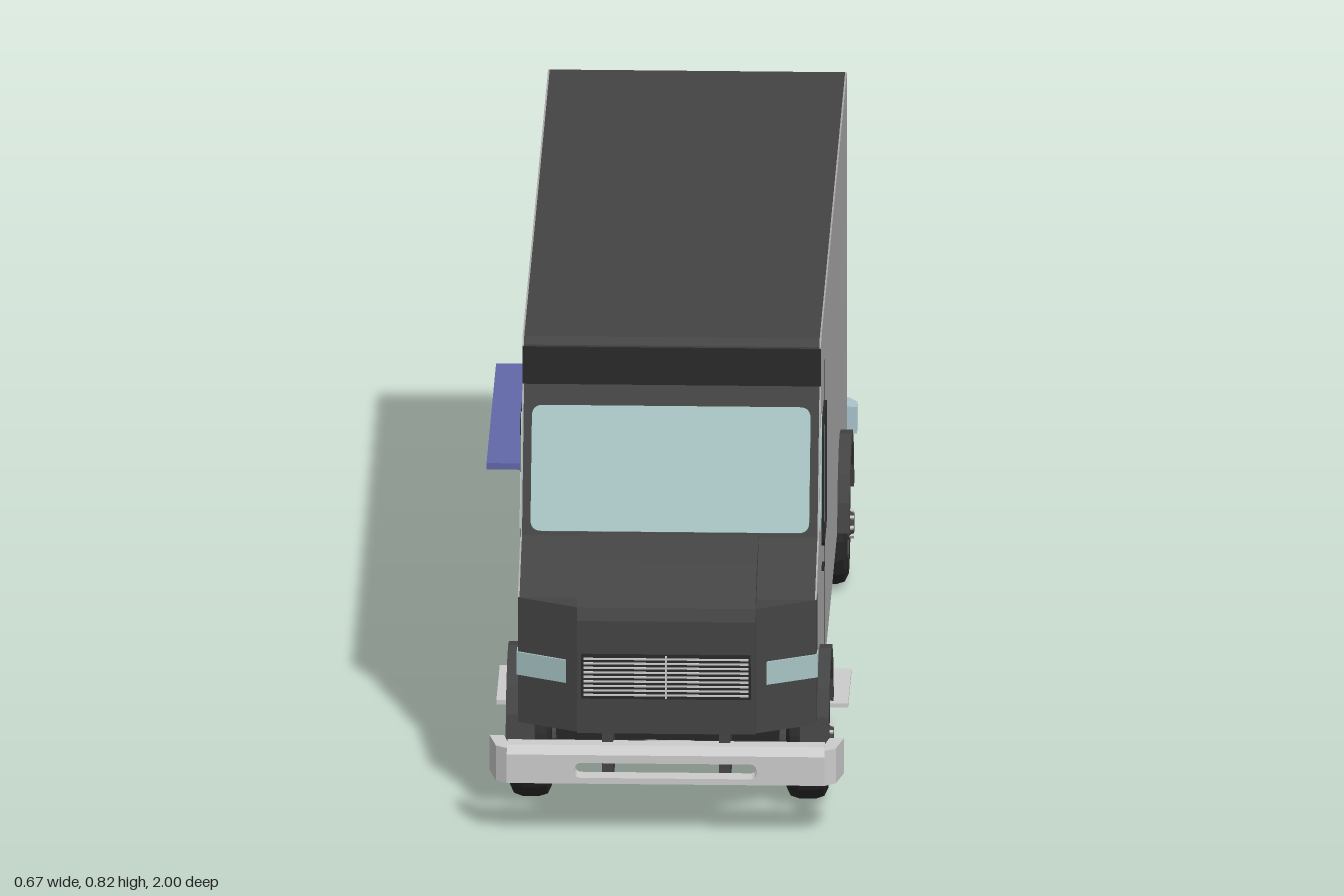
import * as THREE from 'three';

const mat = (color) => new THREE.MeshStandardMaterial({ color, flatShading: true, side: THREE.DoubleSide });
const dark = mat(0x444444), black = mat(0x2a2a2a), paint = mat(0xaaaaaa), grey = mat(0xcccccc);
const glass = mat(0xa8c4c4), blue = mat(0x6068a8), steel = mat(0xa9c3cc), red = mat(0xa01010), amber = mat(0xb08010);
const W = 0.268, AXLES = [0.75, -0.475];

export function createModel() {
  const truck = new THREE.Group();
  truck.name = 'stepVan';

  function add(name, geometry, material, x = 0, y = 0, z = 0, parent = truck) {
    const mesh = new THREE.Mesh(geometry, material);
    mesh.name = name;
    mesh.position.set(x, y, z);
    parent.add(mesh);
    return mesh;
  }
  const box = (name, m, w, h, d, x, y, z, parent) => add(name, new THREE.BoxGeometry(w, h, d), m, x, y, z, parent);
  const toShape = (pts) => new THREE.Shape(pts.map((p) => new THREE.Vector2(...p)));
  const extrude = (shape, depth) => new THREE.ExtrudeGeometry(shape, { depth, bevelEnabled: false, curveSegments: 6 });
  // (z, y) outline extruded from x0 to x1
  const alongX = (shape, x0, x1) => extrude(shape, x1 - x0).rotateY(-Math.PI / 2).translate(x1, 0, 0);
  // (x, z) outline extruded from y0 to y1
  const alongY = (pts, y0, y1) => extrude(toShape(pts.map(([x, z]) => [x, -z])), y1 - y0).rotateX(-Math.PI / 2).translate(0, y0, 0);
  // same outline on both sides of the truck
  function bothSides(name, shape, x0, x1, m) {
    add(name + 'Left', alongX(shape, x0, x1), m);
    add(name + 'Right', alongX(shape, -x1, -x0), m);
  }
  function roundRect(x0, y0, x1, y1, r) {
    const s = new THREE.Shape();
    s.moveTo(x0 + r, y0);
    s.lineTo(x1 - r, y0).quadraticCurveTo(x1, y0, x1, y0 + r);
    s.lineTo(x1, y1 - r).quadraticCurveTo(x1, y1, x1 - r, y1);
    s.lineTo(x0 + r, y1).quadraticCurveTo(x0, y1, x0, y1 - r);
    s.lineTo(x0, y0 + r).quadraticCurveTo(x0, y0, x0 + r, y0);
    return s;
  }
  function arc(zc, yc, r, squash, n = 8) {
    return Array.from({ length: n + 1 }, (_, i) => {
      const a = Math.PI * (1 - i / n);
      return [zc + r * Math.cos(a), yc + r * squash * Math.sin(a)];
    });
  }

  // Body: plain core, side walls with wheel arches, painted skins
  const upper = [[0.9, 0.185], [0.9, 0.42], [0.8, 0.47], [0.75, 0.488], [0.63, 0.735], [0.63, 0.808], [0.617, 0.82], [-0.905, 0.82], [-0.92, 0.808]];
  const core = toShape([[-0.92, 0.14], [0.86, 0.14], ...upper]);
  const wall = toShape([[-0.92, 0.14], ...arc(AXLES[1], 0.14, 0.13, 0.9), ...arc(AXLES[0], 0.14, 0.13, 0.9).slice(0, -1), ...upper]);
  add('bodyCore', alongX(core, -0.2, 0.2), dark);
  bothSides('bodyWall', wall, 0.2, W - 0.003, dark);
  bothSides('sidePanel', wall, W - 0.003, W, paint);
  box('roofVisor', black, 2 * W, 0.07, 0.004, 0, 0.77, 0.631);

  // Nose and raised hood
  add('nose', alongY([[-W, 0.86], [-W, 0.9], [-0.16, 0.955], [0.16, 0.955], [W, 0.9], [W, 0.86]], 0.185, 0.42), dark);
  add('hood', alongX(toShape([[0.74, 0.187], [0.968, 0.187], [0.972, 0.4], [0.962, 0.422], [0.86, 0.475], [0.755, 0.494], [0.72, 0.49]]), -0.16, 0.16), dark);
  box('grilleRecess', black, 0.304, 0.084, 0.006, 0, 0.296, 0.971);
  for (let i = 0; i < 9; i++) box('grilleBar', grey, 0.296, 0.003, 0.004, 0, 0.262 + i * 0.0085, 0.975);
  box('grilleDivider', grey, 0.003, 0.08, 0.004, 0, 0.296, 0.976);
  for (const s of [-1, 1]) {
    add('headlight', alongY([[s * (W + 0.002), 0.875], [s * (W + 0.002), 0.903], [s * 0.18, 0.949], [s * 0.18, 0.93]], 0.275, 0.318), glass);
  }

  // Glazing and cab doors
  const shield = add('windshield', extrude(roundRect(-0.25, -0.114, 0.25, 0.114, 0.02), 0.005), glass, 0, 0.597, 0.697);
  shield.rotation.x = -Math.atan2(0.12, 0.247);
  bothSides('quarterGlass', toShape([[0.735, 0.495], [0.64, 0.495], [0.64, 0.685]]), W, W + 0.002, glass);
  const frame = roundRect(0.45, 0.42, 0.605, 0.655, 0.022);
  frame.holes.push(roundRect(0.459, 0.429, 0.596, 0.646, 0.018));
  bothSides('windowFrame', frame, W, W + 0.005, black);
  bothSides('doorGlass', roundRect(0.455, 0.425, 0.6, 0.65, 0.02), W, W + 0.002, glass);
  for (const s of [-1, 1]) {
    box('doorSeam', black, 0.002, 0.54, 0.003, s * W, 0.45, 0.435);
    box('doorHandle', black, 0.008, 0.008, 0.03, s * W, 0.38, 0.585);
    // Entry step on two hangers
    box('step', grey, 0.075, 0.008, 0.2, s * 0.278, 0.122, 0.5);
    for (const z of [0.45, 0.55]) box('stepHanger', dark, 0.08, 0.012, 0.02, s * 0.22, 0.13, z);
  }

  // Serving hatch and shelf on the right side
  const hatch = toShape([[-0.63, 0.355], [-0.06, 0.355], [-0.06, 0.66], [-0.63, 0.66]]);
  add('hatchEdge', alongX(hatch, -W - 0.007, -W), black);
  add('hatchPanel', alongX(roundRect(-0.626, 0.359, -0.064, 0.656, 0.003), -W - 0.009, -W), paint);
  box('servingShelf', blue, 0.085, 0.012, 0.57, -0.3105, 0.349, -0.345);

  // Wheels, fenders and axles
  const profile = [[0, -0.037], [0.09, -0.037], [0.105, -0.03], [0.11, -0.015], [0.11, 0.015], [0.105, 0.03], [0.09, 0.037], [0.068, 0.034]];
  const rim = [[0.069, 0.034], [0.064, 0.036], [0.06, 0.02], [0.033, 0.012], [0.03, 0.035], [0.02, 0.046], [0, 0.046]];
  const lathe = (pts, n) => new THREE.LatheGeometry(pts.map((p) => new THREE.Vector2(...p)), n).rotateZ(-Math.PI / 2);
  for (const z of AXLES) {
    const flare = toShape([...arc(z, 0.14, 0.147, 0.95), ...arc(z, 0.14, 0.122, 0.95).reverse()]);
    bothSides('fender', flare, W - 0.03, 0.29, dark);
    for (const s of [-1, 1]) {
      const wheel = new THREE.Group();
      wheel.name = 'wheel';
      wheel.position.set(s * 0.248, 0.11, z);
      wheel.rotation.y = s > 0 ? 0 : Math.PI;
      truck.add(wheel);
      add('tire', lathe(profile, 18), black, 0, 0, 0, wheel);
      add('rim', lathe(rim, 16), dark, 0, 0, 0, wheel);
      for (let i = 0; i < 8; i++) {
        const a = (i * Math.PI) / 4;
        const hole = new THREE.CylinderGeometry(0.009, 0.009, 0.006, 8).rotateZ(Math.PI / 2);
        add('rimHole', hole, black, 0.017, 0.047 * Math.cos(a), 0.047 * Math.sin(a), wheel);
        add('lugNut', new THREE.CylinderGeometry(0.004, 0.004, 0.012, 6).rotateZ(Math.PI / 2), grey, 0.04, 0.024 * Math.cos(a), 0.024 * Math.sin(a), wheel);
      }
      // Leaf spring
      const spring = new THREE.QuadraticBezierCurve3(new THREE.Vector3(s * 0.105, 0.14, z - 0.16), new THREE.Vector3(s * 0.105, 0.06, z), new THREE.Vector3(s * 0.105, 0.14, z + 0.16));
      add('leafSpring', new THREE.TubeGeometry(spring, 10, 0.009, 4), dark);
      box('springClamp', dark, 0.02, 0.06, 0.035, s * 0.105, 0.118, z);
    }
    add('axle', new THREE.CylinderGeometry(0.016, 0.016, 0.44, 8).rotateZ(Math.PI / 2), dark, 0, 0.11, z);
    const diff = add('differential', new THREE.IcosahedronGeometry(0.056, 0), grey, 0, 0.118, z);
    diff.scale.z = 0.9;
  }

  // Drive shaft, rails and exhaust
  const rod = (name, r, len, z, m) => add(name, new THREE.CylinderGeometry(r, r, len, 8).rotateX(Math.PI / 2), m, 0, 0.118, z);
  rod('driveShaft', 0.011, 1.2, 0.137, grey);
  rod('shaftSleeve', 0.019, 0.22, 0.16, grey);
  for (const s of [-1, 1]) box('chassisRail', dark, 0.025, 0.025, 1.65, s * 0.14, 0.138, -0.04);
  const pipe = [[-0.27, 0.112, -0.82], [-0.23, 0.117, -0.78], [-0.12, 0.125, -0.72], [0.12, 0.125, -0.72], [0.23, 0.117, -0.78], [0.27, 0.112, -0.82]];
  add('exhaustPipe', new THREE.TubeGeometry(new THREE.CatmullRomCurve3(pipe.map((p) => new THREE.Vector3(...p))), 28, 0.011, 8), dark);
  for (const s of [-1, 1]) {
    const tip = add('tailpipe', new THREE.CylinderGeometry(0.019, 0.017, 0.05, 10, 1, true).rotateX(Math.PI / 2), dark, s * 0.255, 0.114, -0.802);
    tip.rotation.y = -s * 0.75;
  }

  // Front bumper with a slot and wrapped ends
  const bar = toShape([[-0.285, 0.102], [0.285, 0.102], [0.285, 0.156], [-0.285, 0.156]]);
  bar.holes.push(roundRect(-0.163, 0.113, 0.163, 0.141, 0.012));
  add('frontBumper', extrude(bar, 0.035), grey, 0, 0, 0.965);
  add('frontBumperTop', alongX(toShape([[0.955, 0.156], [1, 0.156], [0.985, 0.17], [0.955, 0.17]]), -0.285, 0.285), grey);
  for (const s of [-1, 1]) {
    add('bumperEnd', alongY([[0.285, 1], [0.305, 0.985], [0.318, 0.925], [0.292, 0.925], [0.285, 0.96]].map(([x, z]) => [s * x, z]), 0.102, 0.168), grey);
    box('bumperBracket', dark, 0.02, 0.095, 0.1, s * 0.105, 0.138, 0.915);
  }

  // Rear bumper, door and lamps
  add('rearBumper', alongY([[-0.285, -0.945], [0.285, -0.945], [0.285, -0.975], [0.268, -1], [-0.268, -1], [-0.285, -0.975]], 0.125, 0.175), steel);
  for (const s of [-1, 1]) {
    box('rearBumperMount', steel, 0.025, 0.03, 0.05, s * 0.145, 0.153, -0.93);
    box('rearDoorSeam', black, 0.003, 0.46, 0.002, s * 0.11, 0.415, -0.92);
    [0.21, 0.268, 0.326].forEach((y, i) => {
      const lamp = new THREE.SphereGeometry(0.018, 10, 6);
      add('tailLamp', lamp, i ? red : amber, s * 0.228, y, -0.92).scale.z = 0.5;
    });
  }
  for (const y of [0.185, 0.645]) box('rearDoorSeam', black, 0.22, 0.003, 0.002, 0, y, -0.92);
  box('rearDoorHandle', grey, 0.035, 0.007, 0.01, -0.05, 0.42, -0.924);

  // Shift so the shelf side balances the overall width
  truck.children.forEach((part) => { part.position.x += 0.0175; });
  return truck;
}
